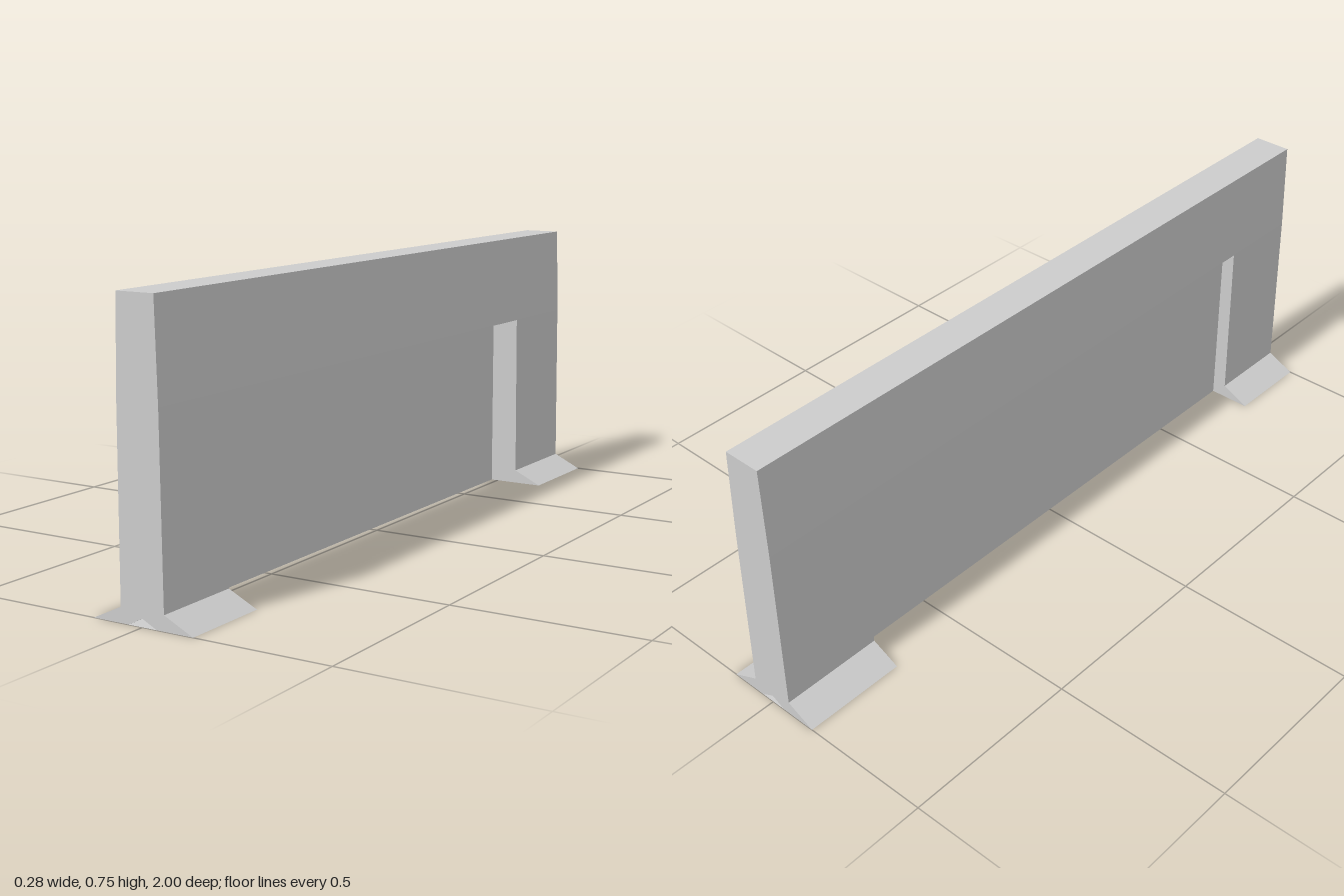
import * as THREE from 'three';

const FRONT_JAMB = 0.76, BACK_JAMB = -0.715, LINTEL = 0.5, PANEL_X = -0.02;

export function createModel() {
  const group = new THREE.Group();
  const solid = new THREE.MeshStandardMaterial({ color: 0xcccccc, flatShading: true });
  const sheet = new THREE.MeshStandardMaterial({ color: 0xcccccc, flatShading: true, side: THREE.DoubleSide });

  const add = (name, geometry, material = solid) => {
    const mesh = new THREE.Mesh(geometry, material);
    mesh.name = name;
    group.add(mesh);
    return mesh;
  };
  const toShape = (points) => new THREE.Shape(points.map(([x, y]) => new THREE.Vector2(x, y)));
  // Cross-section in x and y, run from z0 to z1
  const run = (points, z0, z1) =>
    new THREE.ExtrudeGeometry(toShape(points), { depth: z1 - z0, bevelEnabled: false }).translate(0, 0, z0);

  // Tapered top beam over the full length
  add('topBeam', run([[-0.058, LINTEL], [0.058, LINTEL], [0.052, 0.747], [-0.052, 0.747]], -1, 1));

  // End posts with flared feet and a small notch under each end
  const post = [
    [-0.14, 0], [-0.04, 0], [0, 0.02], [0.04, 0], [0.14, 0],
    [0.061, 0.038], [0.058, LINTEL], [-0.058, LINTEL], [-0.061, 0.038],
  ];
  const notch = [[-0.04, 0], [0.04, 0], [0, 0.02]];
  for (const [name, z0, z1, jamb] of [['front', FRONT_JAMB, 1, FRONT_JAMB], ['back', -1, BACK_JAMB, BACK_JAMB]]) {
    add(name + 'Post', run(post, z0, z1));

    // Flat sole closing the underside of the notch
    const sole = add(name + 'Sole', new THREE.PlaneGeometry(0.08, z1 - z0).rotateX(Math.PI / 2), sheet);
    sole.position.z = (z0 + z1) / 2;

    // Jamb closes the notch on the side facing the recess
    const plug = add(name + 'NotchEnd', new THREE.ShapeGeometry(toShape(notch)));
    plug.position.z = jamb;
    if (name === 'front') plug.rotation.y = Math.PI;
  }

  // Thin off-centre panel filling the opening
  const panel = add('panel', new THREE.PlaneGeometry(FRONT_JAMB - BACK_JAMB, LINTEL).rotateY(Math.PI / 2), sheet);
  panel.position.set(PANEL_X, LINTEL / 2, (FRONT_JAMB + BACK_JAMB) / 2);

  return group;
}
